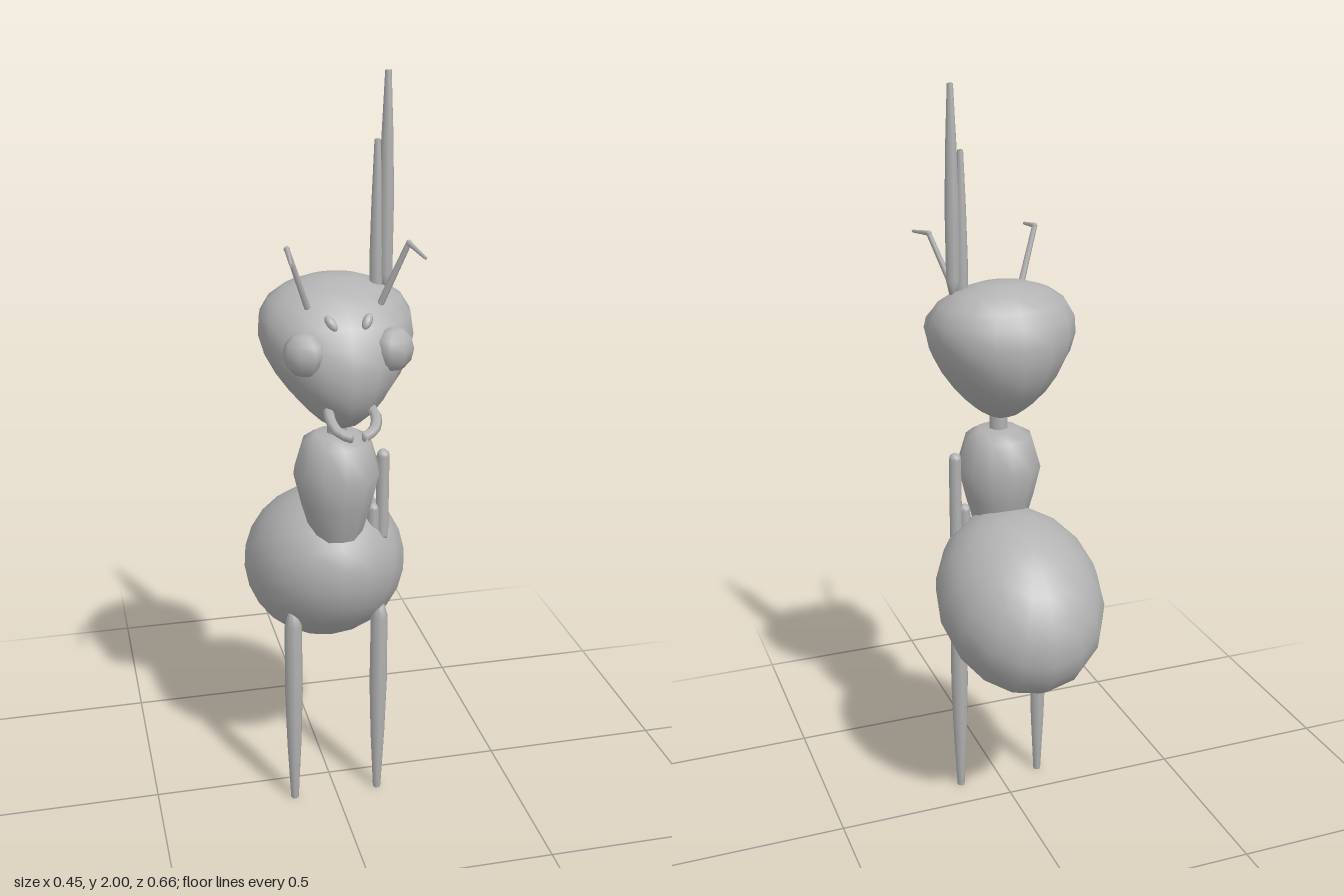
import * as THREE from 'three';
import { mergeVertices } from 'three/addons/utils/BufferGeometryUtils.js';

export function createModel() {
  const model = new THREE.Group();
  model.name = 'ant';
  const shell = new THREE.MeshStandardMaterial({ color: 0xb2b2b2 });
  shell.name = 'grey shell';

  const add = (name, geometry, x = 0, y = 0, z = 0) => {
    const mesh = new THREE.Mesh(geometry, shell);
    mesh.name = name;
    mesh.position.set(x, y, z);
    model.add(mesh);
    return mesh;
  };
  // profile runs from bottom to top as [radius, height]
  const turned = (profile, sides) =>
    new THREE.LatheGeometry(profile.map(([r, h]) => new THREE.Vector2(r, h)), sides);

  // Limb between two heights, with a thin tip at `tip` and a rounded end at `root`
  const limb = (name, x, z, tip, root, r, tipR) => {
    const L = Math.abs(root - tip);
    const mesh = add(name, turned([[0, 0], [tipR, 0], [r * 0.8, L * 0.3], [r, L * 0.58],
      [r * 0.95, L * 0.92], [r * 0.55, L * 0.985], [0, L]], 8), x, tip, z);
    if (root < tip) mesh.rotation.x = Math.PI;
    return mesh;
  };

  // Egg-shaped abdomen, sloping down to the back
  const abdomen = add('abdomen', new THREE.SphereGeometry(1, 16, 12), 0, 0.664, -0.07);
  abdomen.scale.set(0.223, 0.213, 0.277);
  abdomen.rotation.x = -0.5;

  // Thorax and neck
  add('thorax', turned([[0, 0.795], [0.05, 0.795], [0.066, 0.81], [0.095, 0.91], [0.115, 0.995],
    [0.09, 1.08], [0.055, 1.1], [0, 1.102]], 12), 0, 0, 0.091);
  add('neck', new THREE.CylinderGeometry(0.026, 0.026, 0.15, 8), 0, 1.125, 0.091);

  // Head: sphere narrowed toward the jaw, with the jaw pushed forward
  let head = new THREE.SphereGeometry(1, 16, 12);
  const p = head.attributes.position;
  for (let i = 0; i < p.count; i++) {
    const x = p.getX(i), y = p.getY(i), z = p.getZ(i);
    p.setXYZ(i, x * 0.2 * (0.92 + 0.4 * y), y * 0.19, z * 0.198 - y * 0.03);
  }
  head.deleteAttribute('uv');
  head.deleteAttribute('normal');
  head = mergeVertices(head, 1e-5);
  head.computeVertexNormals();
  add('head', head, 0, 1.32, 0.083);

  for (const s of [1, -1]) {
    const side = s > 0 ? 'left' : 'right';
    const v = (x, y, z) => new THREE.Vector3(s * x, y, z);

    // Eyes
    const eye = add(side + 'Eye', new THREE.SphereGeometry(1, 8, 6), s * 0.112, 1.357, 0.226);
    eye.scale.set(0.054, 0.056, 0.043);
    eye.rotation.y = s * 0.45;
    const spot = add(side + 'SmallEye', new THREE.SphereGeometry(1, 8, 6), s * 0.045, 1.43, 0.223);
    spot.scale.set(0.012, 0.023, 0.012);
    spot.rotation.set(-0.6, 0, -s * 0.5);

    // Antennae: two tapering straight segments
    const knee = v(0.148, 1.613, 0.21);
    [[v(0.085, 1.44, 0.165), knee, 0.009, 0.007], [knee, v(0.159, 1.6, 0.316), 0.007, 0.004]]
      .forEach(([a, b, r0, r1], i) => {
        const d = b.clone().sub(a);
        const mid = a.clone().add(b).multiplyScalar(0.5);
        const seg = add(side + (i ? 'AntennaTip' : 'AntennaStalk'),
          new THREE.CylinderGeometry(r1, r0, d.length(), 6), mid.x, mid.y, mid.z);
        seg.quaternion.setFromUnitVectors(new THREE.Vector3(0, 1, 0), d.normalize());
      });
    add(side + 'AntennaJoint', new THREE.SphereGeometry(0.008, 6, 4), knee.x, knee.y, knee.z);

    // Curved mandibles
    const jaw = new THREE.CatmullRomCurve3([v(0.052, 1.215, 0.225), v(0.057, 1.2, 0.275),
      v(0.044, 1.18, 0.303), v(0.014, 1.17, 0.321)]);
    add(side + 'Mandible', new THREE.TubeGeometry(jaw, 6, 0.014, 6), 0, 0, 0);
    const tip = add(side + 'MandibleTip', new THREE.SphereGeometry(0.0135, 6, 4), s * 0.016, 1.171, 0.319);
    tip.scale.set(0.5, 1, 0.7);

    // Standing legs
    limb(side + 'Leg', s * 0.12, 0.094, 0, 0.6, 0.025, 0.011);
  }

  // Upright limbs rising beside the thorax and the head
  limb('tallUpperLimb', 0.124, 0.088, 2, 1.47, 0.019, 0.008);
  limb('shortUpperLimb', 0.1, 0.088, 1.84, 1.36, 0.017, 0.008);
  add('middleLimb', new THREE.CapsuleGeometry(0.0175, 0.225, 3, 8), 0.125, 0.912, 0.09);
  add('innerMiddleLimb', new THREE.CapsuleGeometry(0.0165, 0.12, 3, 8), 0.1, 0.815, 0.09);

  return model;
}
